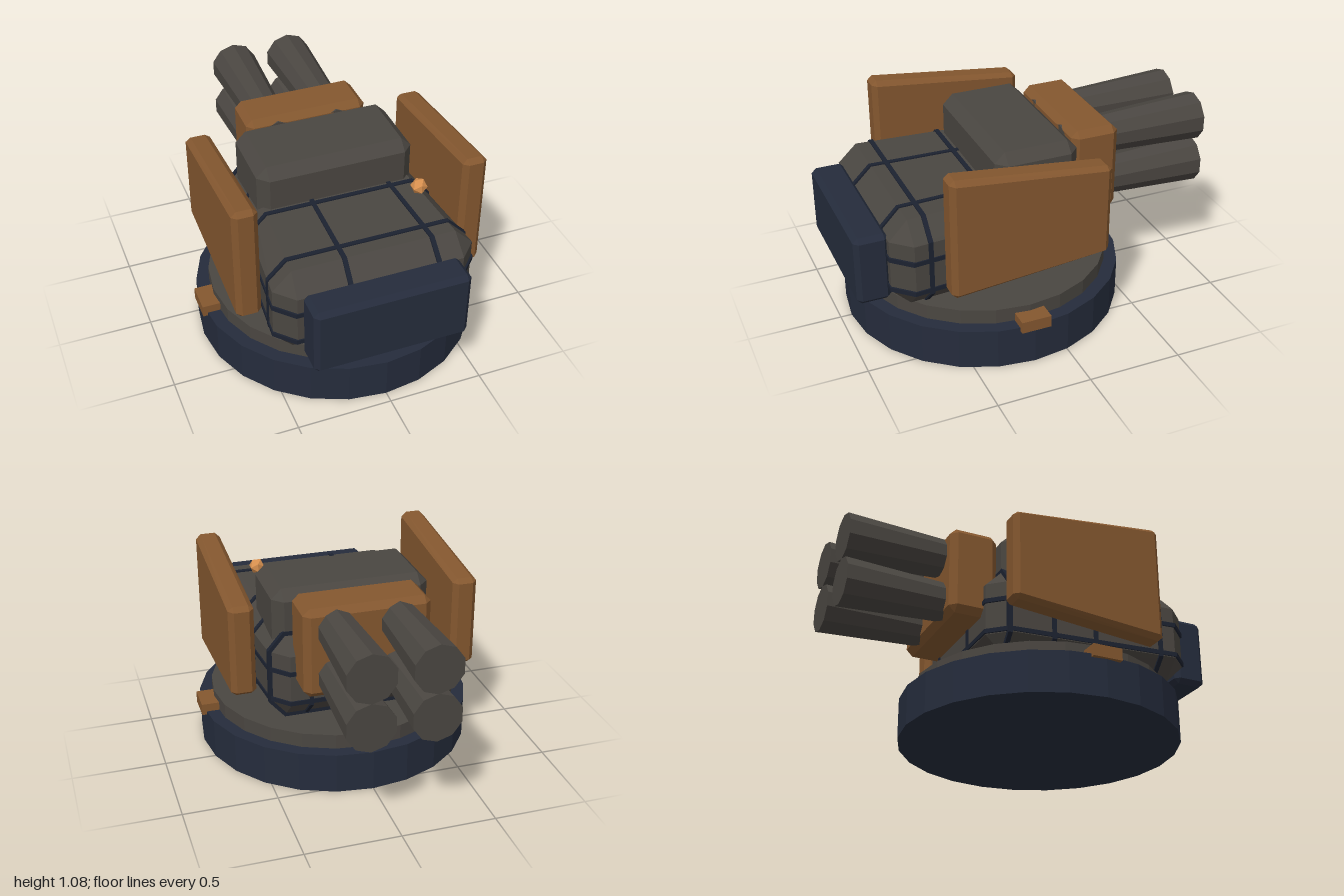
import * as THREE from 'three';
import { ConvexGeometry } from 'three/addons/geometries/ConvexGeometry.js';

const paint = (color) => new THREE.MeshStandardMaterial({ color, flatShading: true });
const SIGNS = [-1, 1];

export function createModel() {
  const model = new THREE.Group();
  const navy = paint(0x252c3c), seamDark = paint(0x1c2230), steel = paint(0x4a4641);
  const bronze = paint(0x84572f), amber = paint(0xd8904f);

  function add(name, geometry, material, x = 0, y = 0, z = 0) {
    const mesh = new THREE.Mesh(geometry, material);
    mesh.name = name;
    mesh.position.set(x, y, z);
    model.add(mesh);
    return mesh;
  }

  // Box with chamfered edges and corners; warp may move each point
  function chamferBox(w, h, d, c, warp = (p) => p) {
    const pts = [];
    for (const i of SIGNS) for (const j of SIGNS) for (const k of SIGNS) {
      pts.push(
        new THREE.Vector3(i * w, j * (h - c), k * (d - c)),
        new THREE.Vector3(i * (w - c), j * h, k * (d - c)),
        new THREE.Vector3(i * (w - c), j * (h - c), k * d));
    }
    return new ConvexGeometry(pts.map(warp));
  }

  // Turntable
  add('base', new THREE.CylinderGeometry(0.75, 0.75, 0.22, 24), navy, 0, 0.11, 0.19);
  add('turntable', new THREE.CylinderGeometry(0.68, 0.68, 0.08, 24), steel, 0, 0.26, 0.19);
  for (const s of SIGNS) {
    add('baseLug', new THREE.BoxGeometry(0.14, 0.064, 0.16), bronze, s * 0.695, 0.233, 0.19);
  }

  // Hull, narrowing towards the back
  const hull = { w: 0.53, h: 0.243, d: 0.56, c: 0.1, y: 0.547, z: 0.275 };
  const taper = (p) => {
    p.x *= 1 + (p.z - 0.445) * 0.155;
    return p;
  };
  add('hull', chamferBox(hull.w, hull.h, hull.d, hull.c, taper), steel, 0, hull.y, hull.z);

  // Seam: thin octagonal slice slightly larger than the hull, across one axis
  function seam(axis, at, half = 0.012) {
    const g = 0.007;
    const size = { x: hull.w + g, y: hull.h + g, z: hull.d + g };
    const [a, b] = ['x', 'y', 'z'].filter((k) => k !== axis);
    const pts = [];
    for (const e of SIGNS) for (const i of SIGNS) for (const j of SIGNS) for (const cut of [0, 1]) {
      const p = new THREE.Vector3();
      p[axis] = at + e * half;
      p[a] = i * (size[a] - cut * hull.c);
      p[b] = j * (size[b] - (1 - cut) * hull.c);
      pts.push(taper(p));
    }
    add('hullSeam', new ConvexGeometry(pts), seamDark, 0, hull.y, hull.z);
  }
  for (const x of [-0.16, 0.3]) seam('x', x);
  for (const y of [0.42, 0.592]) seam('y', y - hull.y);
  for (const z of [-0.19, 0.05, 0.28, 0.65]) seam('z', z - hull.z);

  // Front block
  add('frontBlock', chamferBox(0.408, 0.19, 0.09, 0.025), navy, 0, 0.524, 0.91);

  // Upper mount and rear housing
  add('upperMount', chamferBox(0.422, 0.26, 0.225, 0.055), steel, 0, 0.755, 0.025);
  add('rearHousing', chamferBox(0.335, 0.244, 0.132, 0.035), bronze, 0, 0.772, -0.332);

  // Four flared barrels
  for (const s of SIGNS) for (const y of [0.643, 0.9]) {
    const barrel = new THREE.CylinderGeometry(0.092, 0.13, 0.8, 10);
    barrel.rotateX(Math.PI / 2).rotateZ(Math.PI);
    add('barrel', barrel, steel, s * 0.165, y, -0.6);
  }

  // Side armour plates, taller at the front
  const slope = (p) => {
    const t = (p.z + 0.425) / 0.85;
    p.y = p.y * (0.74 + 0.26 * t) + 0.01 * t;
    return p;
  };
  for (const s of SIGNS) {
    add('sidePlate', chamferBox(0.066, 0.332, 0.425, 0.027, slope), bronze, s * 0.6, 0.738, 0.165);
  }

  // Sensor bead
  add('sensor', new THREE.IcosahedronGeometry(0.044, 0), amber, 0.353, 0.895, 0.46);

  return model;
}
